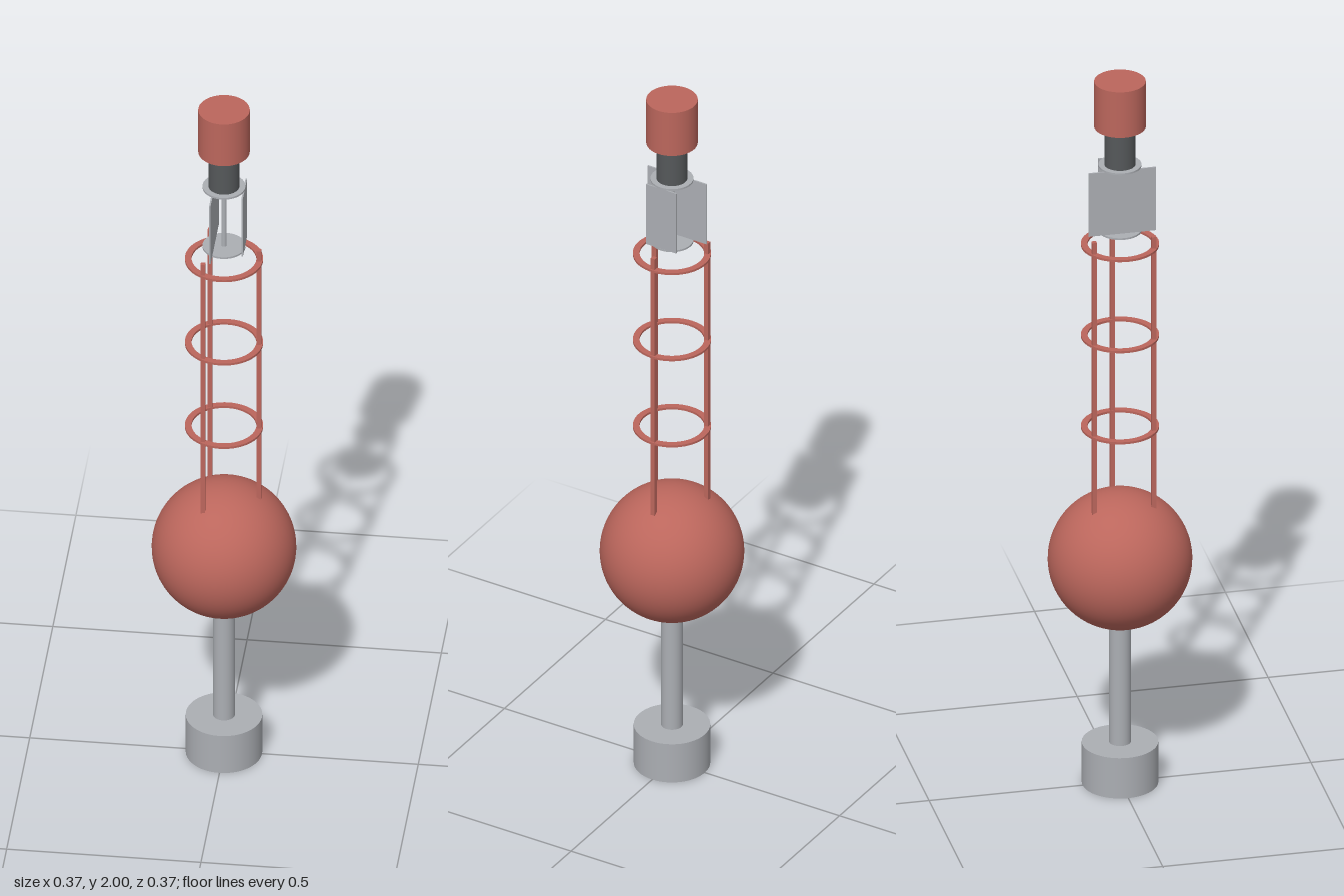
import * as THREE from 'three';

export function createModel() {
  const model = new THREE.Group();
  model.name = 'spar buoy';
  const material = (name, color) => {
    const m = new THREE.MeshStandardMaterial({ color });
    m.name = name;
    return m;
  };
  const red = material('buoy red', 0xbb665c);
  const grey = material('light grey', 0xabaeb3);
  const dark = material('dark grey', 0x55585a);

  const add = (name, geometry, mat, x, y, z) => {
    const mesh = new THREE.Mesh(geometry, mat);
    mesh.name = name;
    mesh.position.set(x, y, z);
    model.add(mesh);
    return mesh;
  };
  // Upright cylinder given by its bottom and top heights
  const cylinder = (name, radius, y0, y1, mat) =>
    add(name, new THREE.CylinderGeometry(radius, radius, y1 - y0, 48), mat, 0, (y0 + y1) / 2, 0);

  // Counterweight, stem and float
  cylinder('counterweight', 0.098, 0, 0.115, grey);
  cylinder('stem', 0.028, 0.115, 0.47, grey);
  add('float', new THREE.SphereGeometry(0.185, 64, 40), red, 0, 0.638, 0);

  // Flat hoops around the cage
  const hoop = new THREE.LatheGeometry(
    [[0.083, -0.003], [0.1, -0.003], [0.1, 0.003], [0.083, 0.003], [0.083, -0.003]]
      .flatMap(([r, y], i) => {
        const p = new THREE.Vector2(r, y);
        return i > 0 && i < 4 ? [p, p.clone()] : [p]; // doubled points keep edges sharp
      }), 64);
  const hoopMesh = hoop.toNonIndexed();
  hoopMesh.computeVertexNormals();
  for (const y of [1.015, 1.275, 1.535]) add('cageHoop', hoopMesh, red, 0, y, 0);

  // Three cage legs and three parallel reflector plates, spaced evenly around
  for (let i = 0; i < 3; i++) {
    const a = (i * Math.PI * 2) / 3;
    const c = Math.cos(a), s = Math.sin(a);
    add('cageLeg', new THREE.BoxGeometry(0.012, 0.78, 0.012), red, c * 0.09, 1.18, s * 0.09);
    add('reflectorPlate', new THREE.BoxGeometry(0.004, 0.18, 0.09), grey, c * 0.052, 1.668, s * 0.05);
  }

  // Reflector end discs and centre rod
  cylinder('reflectorBottomDisc', 0.055, 1.573, 1.578, grey);
  cylinder('reflectorTopDisc', 0.055, 1.758, 1.763, grey);
  cylinder('reflectorRod', 0.007, 1.578, 1.758, grey);

  // Lantern and topmark
  cylinder('lantern', 0.04, 1.763, 1.87, dark);
  cylinder('topmark', 0.066, 1.87, 2, red);
  return model;
}
